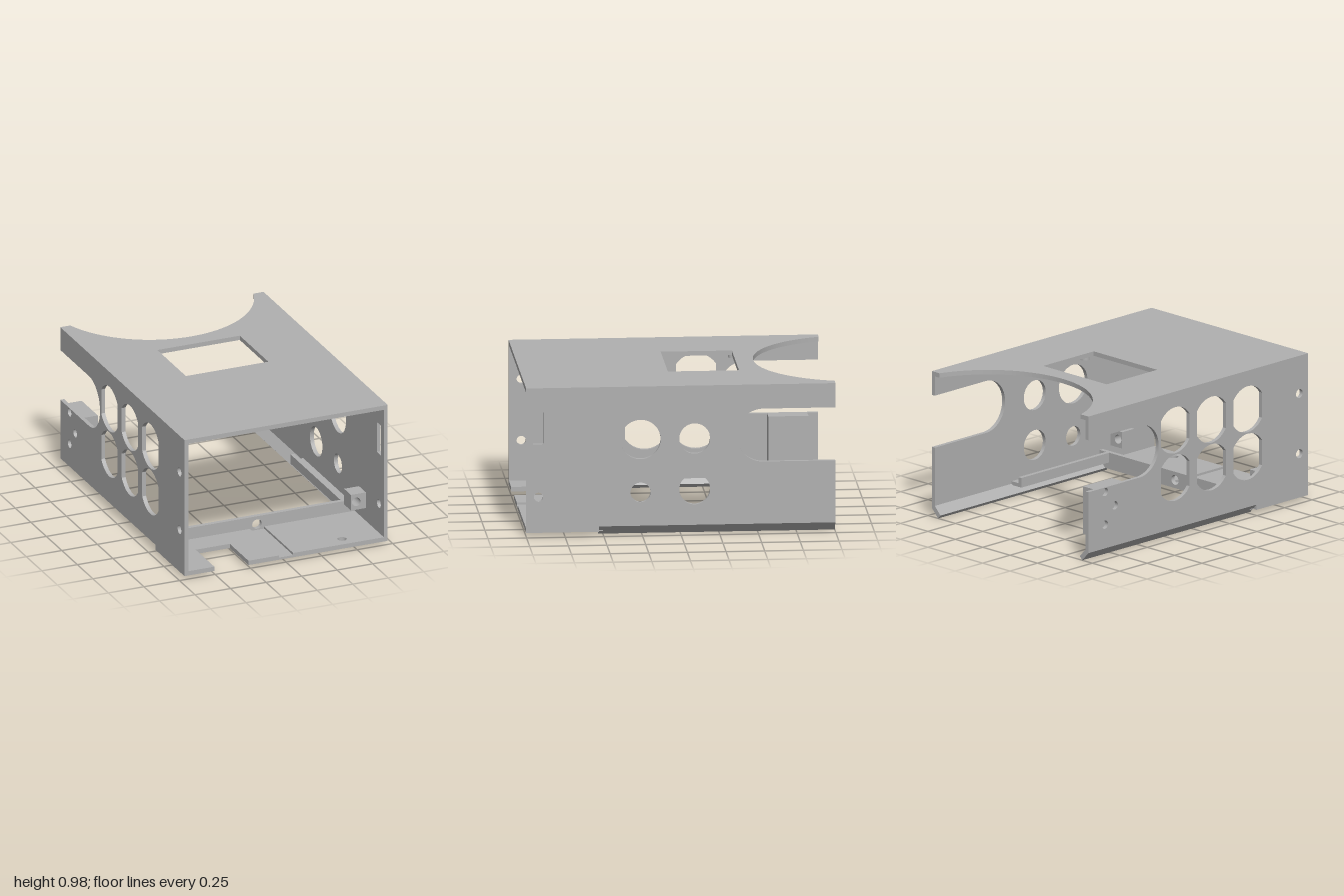
import * as THREE from 'three';

const W = 0.715, IN = 0.688; // outer and inner half widths

export function createModel() {
  const model = new THREE.Group();
  const grey = new THREE.MeshStandardMaterial({ color: 0xb0b0b0 });
  grey.name = 'grey';

  const add = (name, geometry) => {
    const mesh = new THREE.Mesh(geometry, grey);
    mesh.name = name;
    model.add(mesh);
    return mesh;
  };
  const box = (name, x0, x1, y0, y1, z0, z1) =>
    add(name, new THREE.BoxGeometry(x1 - x0, y1 - y0, z1 - z0)
      .translate((x0 + x1) / 2, (y0 + y1) / 2, (z0 + z1) / 2));
  const polygon = (points) => new THREE.Shape(points.map(([x, y]) => new THREE.Vector2(x, y)));
  const rect = (x0, x1, y0, y1) => polygon([[x0, y0], [x1, y0], [x1, y1], [x0, y1]]);
  const round = (x, y, r) => new THREE.Path().absarc(x, y, r, 0, Math.PI * 2, true);
  const extrude = (shape, depth) =>
    new THREE.ExtrudeGeometry(shape, { depth, bevelEnabled: false, curveSegments: 32 });
  // horizontal plate drawn in x, z
  const plate = (name, shape, y0, y1) =>
    add(name, extrude(shape, y1 - y0).rotateX(Math.PI / 2).translate(0, y1, 0));

  // top with a round rear cutout and a rectangular window
  const top = new THREE.Shape();
  top.moveTo(-W, 1);
  top.lineTo(W, 1);
  top.lineTo(W, -1);
  top.lineTo(0.645, -1);
  const a = Math.atan2(0.2, 0.645);
  top.absarc(0, -1.2, 0.675, a, Math.PI - a, false);
  top.lineTo(-W, -1);
  top.holes.push(rect(-0.29, 0.29, -0.41, 0.05));
  plate('top', top, 0.95, 0.98);

  // side walls, drawn in -z, y, with an open slot at the back
  const wall = (name, x0, holes) => {
    const s = new THREE.Shape();
    s.moveTo(-1, 0.025);
    s.lineTo(-0.53, 0.025);
    s.lineTo(-0.53, 0.06);
    s.lineTo(1, 0.06);
    s.lineTo(1, 0.47);
    s.lineTo(0.535, 0.47);
    s.absarc(0.535, 0.645, 0.175, -Math.PI / 2, Math.PI / 2, true);
    s.lineTo(1, 0.82);
    s.lineTo(1, 0.95);
    s.lineTo(-1, 0.95);
    s.holes.push(...holes);
    add(name, extrude(s, W - IN).rotateY(Math.PI / 2).translate(x0, 0, 0));
  };
  wall('leftWall', IN, [
    round(-0.26, 0.63, 0.13), round(0.09, 0.63, 0.1),
    round(-0.26, 0.28, 0.065), round(0.09, 0.295, 0.1),
    round(-0.92, 0.26, 0.03), rect(-0.955, -0.885, 0.61, 0.82),
  ]);

  // round vent with two flat sides
  const flatVent = (u, y) => {
    const r = 0.155, f = Math.acos(0.13 / r), p = new THREE.Path();
    p.absarc(u, y, r, f, Math.PI - f, false);
    p.absarc(u, y, r, Math.PI + f, Math.PI * 2 - f, false);
    p.closePath();
    return p;
  };
  const vents = [];
  for (const u of [-0.45, -0.12, 0.21]) for (const y of [0.4, 0.72]) vents.push(flatVent(u, y));
  wall('rightWall', -W, [
    ...vents, round(-0.92, 0.725, 0.03), round(-0.92, 0.32, 0.03),
    round(0.85, 0.44, 0.028), round(0.76, 0.33, 0.028), round(0.85, 0.22, 0.028),
  ]);

  // front floor with a notch, a screw hole and a shallow groove
  const floorPart = (x0, x1) => {
    const pts = [[x0, 0.5], [x1, 0.5], [x1, 1]];
    if (x0 < -0.5) pts.push([-0.265, 1], [-0.265, 0.7], [-0.505, 0.7], [-0.505, 1]);
    pts.push([x0, 1]);
    const s = polygon(pts);
    if (x1 > 0.5) s.holes.push(round(0.43, 0.917, 0.03));
    return s;
  };
  plate('floor', floorPart(-IN, IN), 0.025, 0.04);
  plate('floorRight', floorPart(-IN, -0.05), 0.04, 0.055);
  plate('floorLeft', floorPart(0.05, IN), 0.04, 0.055);

  // upright crossbar behind the floor
  const bar = rect(-IN, IN, 0.04, 0.135);
  bar.holes.push(round(0, 0.08, 0.033));
  add('crossbar', extrude(bar, 0.03).translate(0, 0, 0.5));

  for (const side of [-1, 1]) {
    const span = (p, q) => (side > 0 ? [p, q] : [-q, -p]);
    // slanted runner under the wall
    const runner = polygon([[0.715, 0.06], [0.658, 0], [0.636, 0.024], [0.688, 0.078]]
      .map(([x, y]) => [side * x, y]));
    add('runner', extrude(runner, 1.53).translate(0, 0, -1));
    // inner rail: shelf and lip
    box('railShelf', ...span(0.6, IN), 0.07, 0.095, -0.3, 0.5);
    box('railLip', ...span(0.6, 0.628), 0.07, 0.135, -0.3, 0.5);
    // screw blocks
    for (const [y0, y1, hy] of [[0.145, 0.255, 0.2], [0.83, 0.95, 0.885]]) {
      const block = rect(...span(0.583, IN), y0, y1);
      block.holes.push(round(side * 0.62, hy, 0.03));
      add('screwBlock', extrude(block, 0.11).translate(0, 0, 0.6));
    }
  }

  // hollow posts under the top
  for (const x of [-0.43, 0.38]) for (const z of [-0.425, 0.06]) {
    const ring = new THREE.Shape().absarc(x, z, 0.03, 0, Math.PI * 2, false);
    ring.holes.push(round(x, z, 0.015));
    plate('post', ring, 0.905, 0.95);
  }

  // block inside the right wall at the back
  box('rearBlock', -IN, -0.595, 0.15, 0.47, -0.93, -0.67);

  return model;
}
